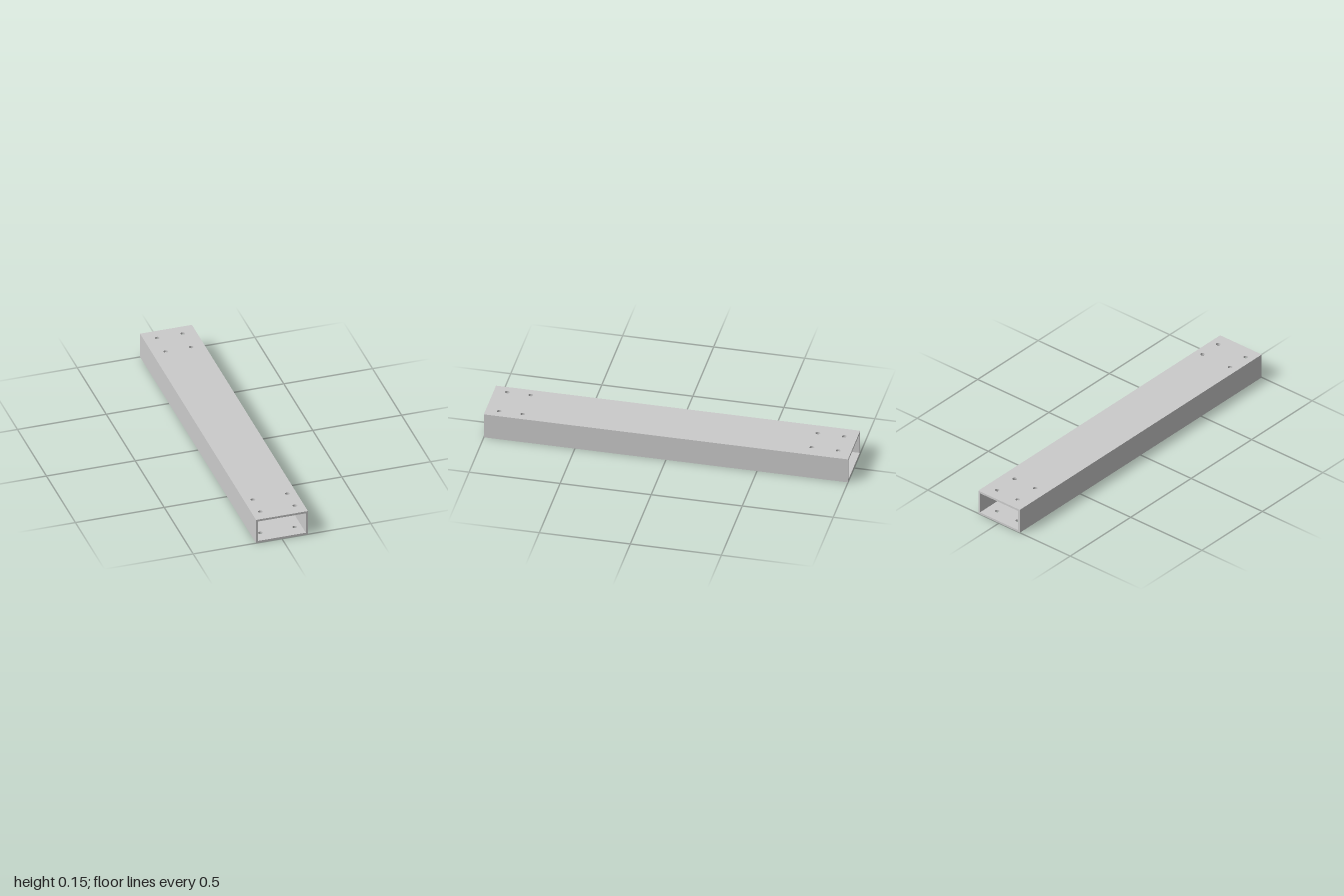
import * as THREE from 'three';

const W = 0.292, H = 0.146, L = 2, WALL = 0.012, HOLE_R = 0.0125;

// Bolt hole rows: half spacing across the tube, position along it
const HOLE_ROWS = [
  [0.072, -0.93], [0.072, -0.785],
  [0.097, 0.797], [0.097, 0.926],
];

export function createModel() {
  const group = new THREE.Group();
  group.name = 'rectangularTube';
  const material = new THREE.MeshStandardMaterial({ color: 0xcccccc });

  function add(name, geometry, x, y) {
    const mesh = new THREE.Mesh(geometry, material);
    mesh.name = name;
    mesh.position.set(x, y, 0);
    group.add(mesh);
  }

  // Drilled plate outline, drawn in x and z
  const plate = new THREE.Shape([
    new THREE.Vector2(-W / 2, -L / 2), new THREE.Vector2(W / 2, -L / 2),
    new THREE.Vector2(W / 2, L / 2), new THREE.Vector2(-W / 2, L / 2),
  ]);
  for (const [x, z] of HOLE_ROWS) {
    for (const side of [-1, 1]) {
      plate.holes.push(new THREE.Path().absarc(side * x, z, HOLE_R, 0, Math.PI * 2, true));
    }
  }

  // Top and bottom walls, with the holes running through both
  const plateGeometry = new THREE.ExtrudeGeometry(plate, {
    depth: WALL, bevelEnabled: false, curveSegments: 24,
  }).rotateX(Math.PI / 2);
  add('topWall', plateGeometry, 0, H);
  add('bottomWall', plateGeometry, 0, WALL);

  // Plain side walls between the plates
  const sideGeometry = new THREE.BoxGeometry(WALL, H - 2 * WALL, L);
  add('leftWall', sideGeometry, (W - WALL) / 2, H / 2);
  add('rightWall', sideGeometry, -(W - WALL) / 2, H / 2);

  return group;
}
